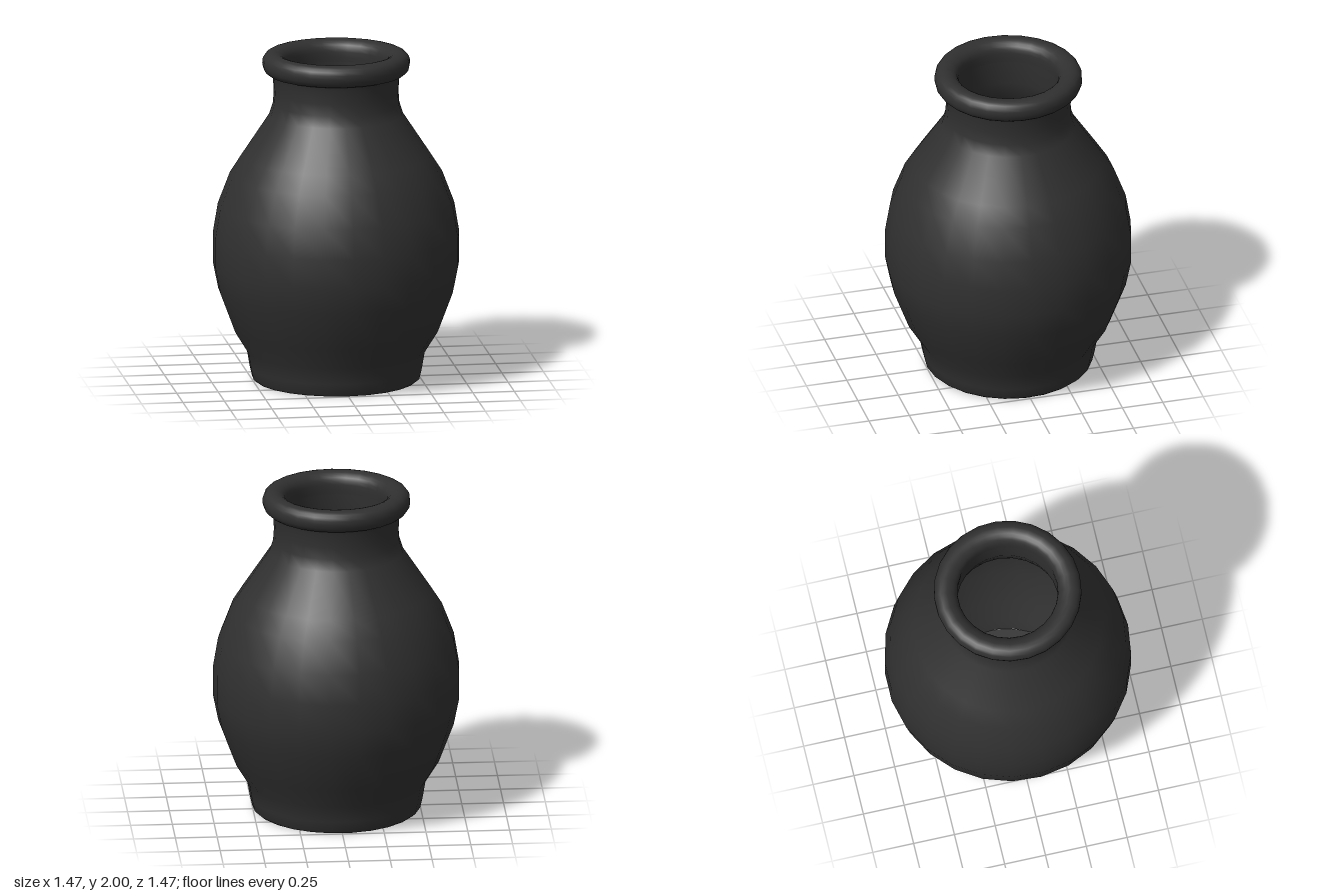
import * as THREE from 'three';

const SIDES = 25;

export function createModel() {
  const vase = new THREE.Group();
  vase.name = 'vase';
  const charcoal = new THREE.MeshStandardMaterial({ color: 0x303030 });
  charcoal.name = 'charcoal';

  const add = (name, geometry) => {
    const mesh = new THREE.Mesh(geometry, charcoal);
    mesh.name = name;
    vase.add(mesh);
    return mesh;
  };
  // Revolves [radius, height] points; a smooth curve through them when steps is given
  const turn = (points, steps) => {
    let profile = points.map(([r, y]) => new THREE.Vector2(r, y));
    if (steps) profile = new THREE.SplineCurve(profile).getPoints(steps);
    return new THREE.LatheGeometry(profile, SIDES);
  };
  const disc = (name, radius, y, tilt) => {
    const mesh = add(name, new THREE.CircleGeometry(radius, SIDES));
    mesh.rotation.set(tilt, 0, 0);
    mesh.position.y = y;
  };

  // Foot, belly, shoulder and neck
  add('body', turn([
    [0.485, 0], [0.503, 0.015], [0.518, 0.08], [0.535, 0.18], [0.615, 0.31],
    [0.705, 0.55], [0.737, 0.71], [0.737, 0.89], [0.707, 1.07], [0.635, 1.26],
    [0.565, 1.37], [0.4, 1.62], [0.378, 1.69], [0.373, 1.76], [0.378, 1.84], [0.39, 1.88],
  ]));

  // Rolled lip
  add('rim', turn([
    [0.37, 1.865], [0.41, 1.873], [0.437, 1.905], [0.441, 1.95], [0.423, 1.985],
    [0.385, 2], [0.345, 1.994], [0.313, 1.97], [0.3, 1.93], [0.302, 1.87],
  ], 18));

  // Hollow inside
  add('innerWall', turn([
    [0.302, 1.87], [0.305, 1.72], [0.335, 1.59], [0.49, 1.36], [0.62, 1.07],
    [0.655, 0.8], [0.625, 0.55], [0.53, 0.31], [0.46, 0.18], [0.43, 0.1],
  ]));
  disc('innerFloor', 0.43, 0.1, -Math.PI / 2);
  disc('base', 0.485, 0, Math.PI / 2);

  return vase;
}
